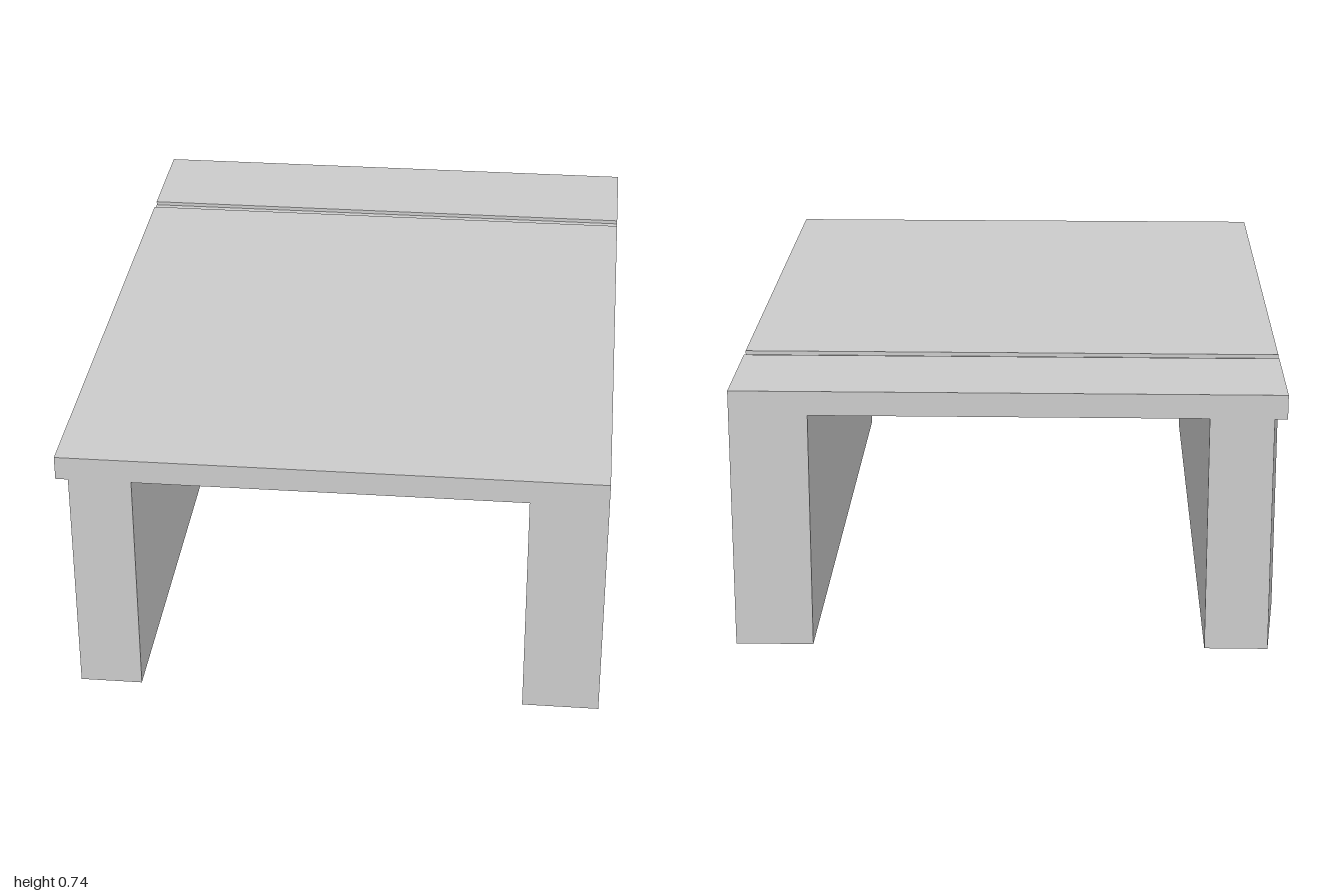
import * as THREE from 'three';

const HALF_W = 0.757, HALF_L = 1;      // overall plan half sizes
const CEILING = 0.67, TOP = 0.738;     // underside and top of the deck
const INNER_L = 0.542, INNER_R = -0.547; // inner faces of the walls

const material = new THREE.MeshStandardMaterial({ color: 0xcccccc, flatShading: true });

function extrude(points, depth) {
  const shape = new THREE.Shape(points.map(([a, b]) => new THREE.Vector2(a, b)));
  return new THREE.ExtrudeGeometry(shape, { depth, bevelEnabled: false });
}

function addPart(group, name, geometry) {
  const mesh = new THREE.Mesh(geometry, material);
  mesh.name = name;
  group.add(mesh);
}

export function createModel() {
  const group = new THREE.Group();
  group.name = 'channelBlock';

  // Deck: side profile (z, y) with a shallow groove across the top
  const floor = TOP - 0.011;
  const deck = extrude([
    [-HALF_L, CEILING], [HALF_L, CEILING], [HALF_L, TOP],
    [-0.615, TOP], [-0.615, floor], [-0.655, floor], [-0.655, TOP], [-HALF_L, TOP],
  ], HALF_W * 2);
  deck.rotateY(-Math.PI / 2).translate(HALF_W, 0, 0);
  addPart(group, 'deck', deck);

  // Left wall: plain block
  const width = HALF_W - INNER_L;
  const leftWall = new THREE.BoxGeometry(width, CEILING, HALF_L * 2);
  leftWall.translate(INNER_L + width / 2, CEILING / 2, 0);
  addPart(group, 'leftWall', leftWall);

  // Right wall: plan (x, -z), outer face tapering inward at both ends under the deck
  const taper = -0.722;
  const rightWall = extrude([
    [taper, -HALF_L], [INNER_R, -HALF_L], [INNER_R, HALF_L],
    [taper, HALF_L], [-HALF_W, 0.66], [-HALF_W, -0.83],
  ], CEILING);
  rightWall.rotateX(-Math.PI / 2);
  addPart(group, 'rightWall', rightWall);

  return group;
}
